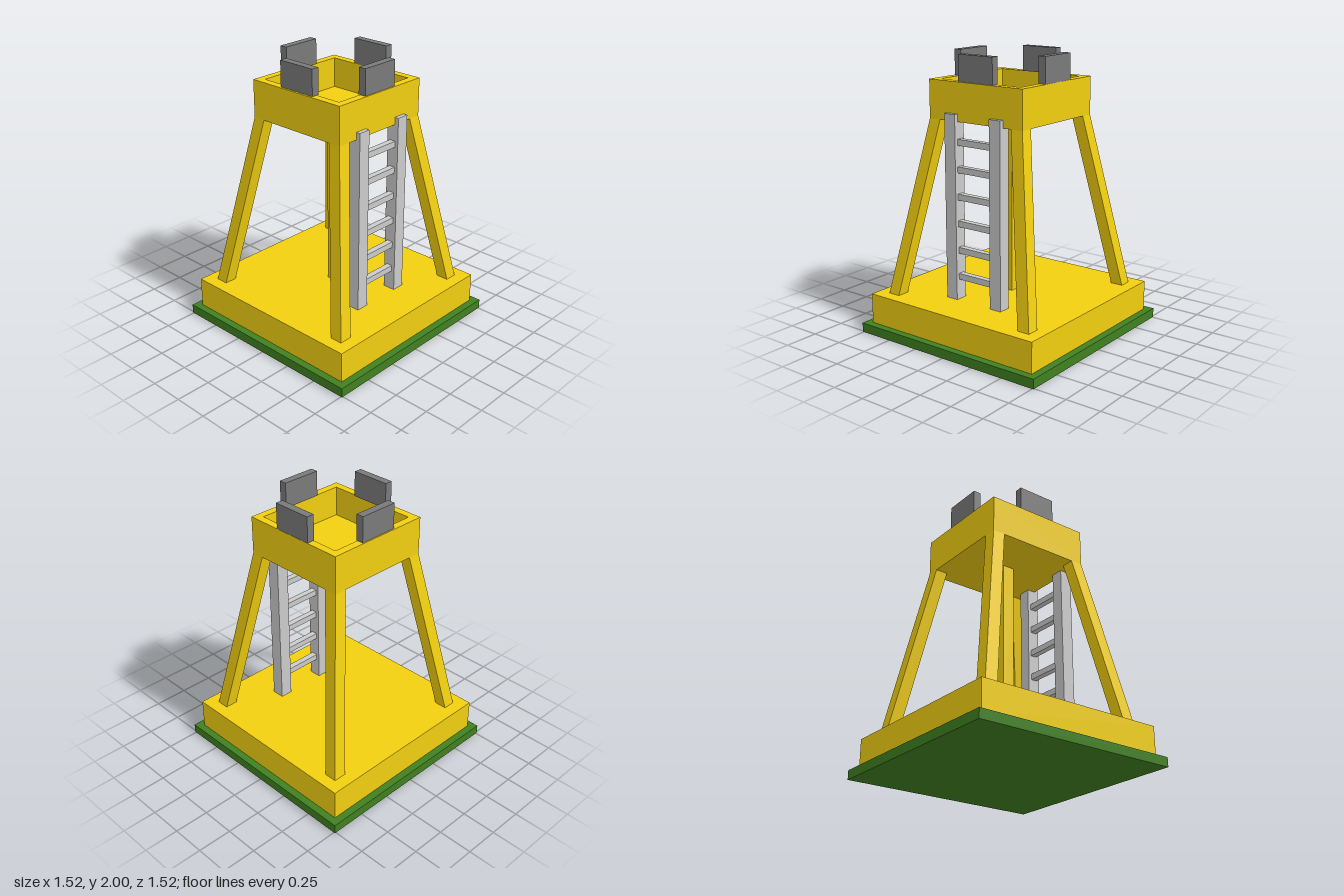
import * as THREE from 'three';

const mat = (color) => new THREE.MeshStandardMaterial({ color, flatShading: true });

export function createModel() {
  const model = new THREE.Group();
  const yellow = mat(0xf2cf10), green = mat(0x40801f), darkGrey = mat(0x7a7a7a), grey = mat(0xcccccc);

  const add = (name, geometry, material, parent = model) => {
    const mesh = new THREE.Mesh(geometry, material);
    mesh.name = name;
    parent.add(mesh);
    return mesh;
  };
  // Box given by its lower and upper limits on each axis
  const block = (name, material, [x0, x1], [y0, y1], [z0, z1], parent) => {
    const mesh = add(name, new THREE.BoxGeometry(x1 - x0, y1 - y0, z1 - z0), material, parent);
    mesh.position.set((x0 + x1) / 2, (y0 + y1) / 2, (z0 + z1) / 2);
    return mesh;
  };

  const baseTop = 0.286, boxBottom = 1.547, boxTop = 1.817;

  // Ground slab, plinth and central column
  block('groundSlab', green, [-0.76, 0.76], [0, 0.068], [-0.76, 0.76]);
  block('plinth', yellow, [-0.707, 0.707], [0.068, baseTop], [-0.707, 0.707]);
  block('centralColumn', yellow, [-0.045, 0.045], [baseTop, boxBottom], [-0.045, 0.045]);

  // Leaning legs: square posts sheared towards the centre
  const legHeight = boxBottom - baseTop;
  const legGeometry = new THREE.BoxGeometry(0.092, legHeight, 0.092);
  const p = legGeometry.attributes.position;
  for (let i = 0; i < p.count; i++) {
    const offset = p.getY(i) > 0 ? 0.35 : 0.573;
    p.setX(i, p.getX(i) + offset);
    p.setZ(i, p.getZ(i) + offset);
  }
  legGeometry.computeVertexNormals();
  for (let i = 0; i < 4; i++) {
    const leg = add('leg', legGeometry, yellow);
    leg.position.y = baseTop + legHeight / 2;
    leg.rotation.y = i * Math.PI / 2;
  }

  // Open platform: square ring of walls with a floor inside
  const square = (Type, r) => new Type([[-r, -r], [r, -r], [r, r], [-r, r]].map(([x, y]) => new THREE.Vector2(x, y)));
  const ring = square(THREE.Shape, 0.396);
  ring.holes.push(square(THREE.Path, 0.34));
  const platform = new THREE.Group();
  platform.name = 'platform';
  model.add(platform);
  const walls = add('platformWalls',
    new THREE.ExtrudeGeometry(ring, { depth: boxTop - boxBottom, bevelEnabled: false }), yellow, platform);
  walls.rotation.x = -Math.PI / 2;
  walls.position.y = boxBottom;
  block('platformFloor', yellow, [-0.34, 0.34], [boxBottom, 1.602], [-0.34, 0.34], platform);

  // Upright panels, one on each wall
  const wide = [-0.145, 0.145], tall = [boxTop, 2];
  block('frontPanel', darkGrey, wide, tall, [0.325, 0.381]);
  block('backPanel', darkGrey, wide, tall, [-0.394, -0.338]);
  block('leftPanel', darkGrey, [0.33, 0.386], tall, wide);
  block('rightPanel', darkGrey, [-0.387, -0.331], tall, wide);

  // Ladder on the +x side
  const ladder = new THREE.Group();
  ladder.name = 'ladder';
  model.add(ladder);
  block('ladderRail', grey, [0.335, 0.427], [baseTop, 1.6], [0.146, 0.238], ladder);
  block('ladderRail', grey, [0.335, 0.427], [baseTop, 1.6], [-0.238, -0.146], ladder);
  for (let i = 0; i < 6; i++) {
    const y = 0.453 + i * 0.191;
    block('ladderRung', grey, [0.358, 0.403], [y - 0.022, y + 0.022], [-0.146, 0.146], ladder);
  }
  return model;
}
